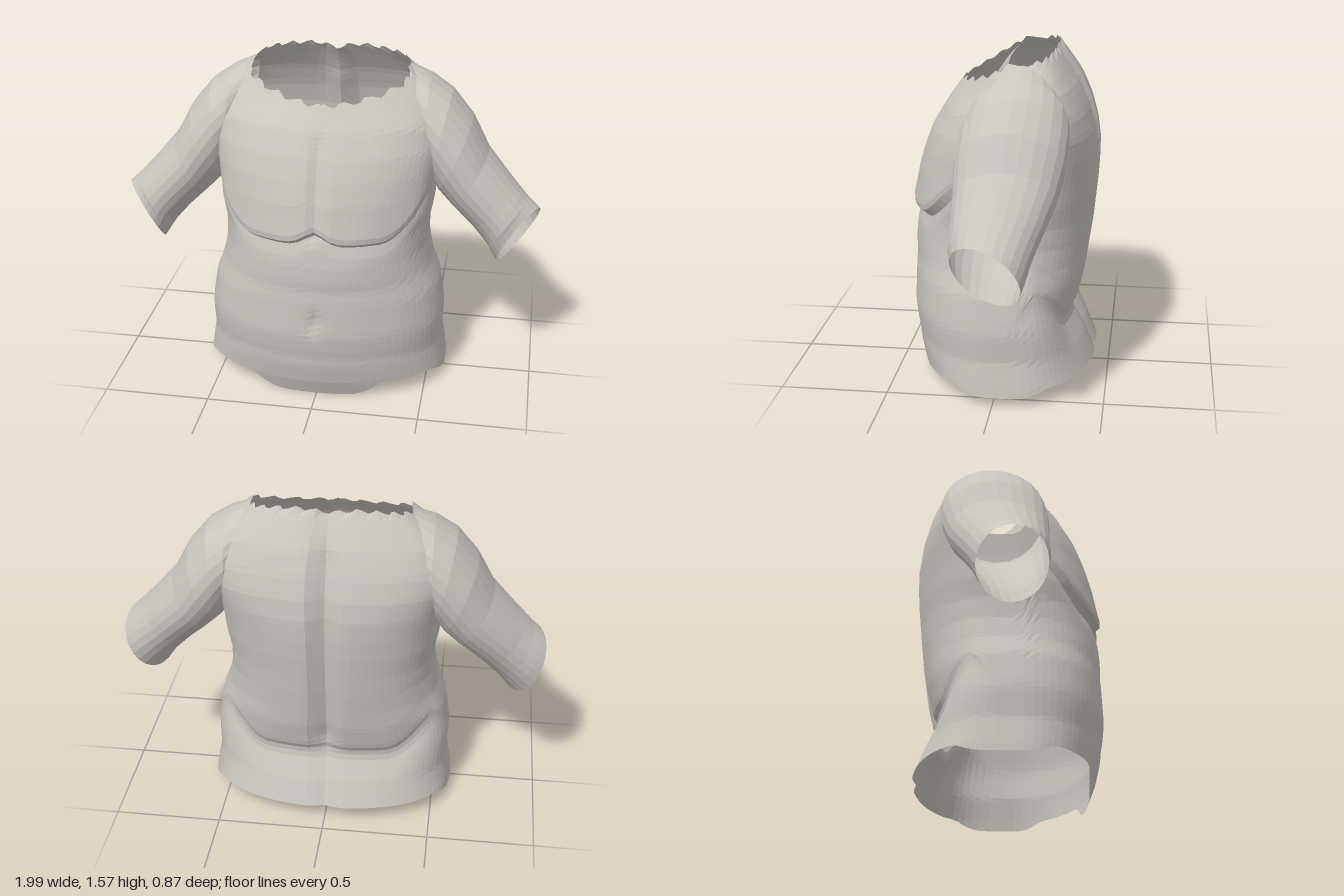
import * as THREE from 'three';

const { smoothstep, lerp, clamp } = THREE.MathUtils;
const gauss = (d, w) => Math.exp(-(d * d) / (w * w));

// Straight-line lookup in a table whose first column is the key
function lookup(table, key, col) {
  let i = 1;
  while (i < table.length - 1 && table[i][0] < key) i++;
  const a = table[i - 1], b = table[i];
  return lerp(a[col], b[col], clamp((key - a[0]) / (b[0] - a[0]), 0, 1));
}

// Open skin around a closed loop of columns; point(u, v, column) gives [x, y, z]
function skin(cols, rows, point, flip = false, hole = () => false) {
  const pos = [], index = [];
  for (let j = 0; j <= rows; j++)
    for (let i = 0; i < cols; i++) pos.push(...point(i / cols, j / rows, i));
  for (let j = 0; j < rows; j++) {
    for (let i = 0; i < cols; i++) {
      const a = j * cols + i, b = j * cols + (i + 1) % cols, c = b + cols, d = a + cols;
      if (hole(pos[3 * a], pos[3 * a + 1], pos[3 * a + 2])) continue;
      if (flip) index.push(a, c, b, a, d, c);
      else index.push(a, b, c, a, c, d);
    }
  }
  const g = new THREE.BufferGeometry();
  g.setAttribute('position', new THREE.Float32BufferAttribute(pos, 3));
  g.setIndex(index);
  g.computeVertexNormals();
  return g;
}

// Torso sections: height, half width, front z, back z, middle z
const BODY = [
  [0.00, 0.59, 0.36, -0.44, 0],
  [0.08, 0.58, 0.39, -0.44, 0],
  [0.20, 0.56, 0.42, -0.39, 0],
  [0.30, 0.565, 0.43, -0.335, 0],
  [0.34, 0.565, 0.435, -0.33, 0],
  [0.38, 0.56, 0.435, -0.355, 0],
  [0.50, 0.54, 0.43, -0.385, 0],
  [0.60, 0.50, 0.43, -0.40, 0],
  [0.70, 0.48, 0.425, -0.415, 0],
  [0.80, 0.48, 0.41, -0.425, 0],
  [0.90, 0.50, 0.40, -0.435, 0],
  [1.00, 0.505, 0.39, -0.44, 0],
  [1.10, 0.515, 0.365, -0.44, 0],
  [1.20, 0.53, 0.33, -0.425, -0.02],
  [1.30, 0.53, 0.275, -0.395, -0.04],
  [1.40, 0.48, 0.20, -0.35, -0.05],
  [1.46, 0.43, 0.16, -0.31, -0.05],
  [1.52, 0.36, 0.11, -0.27, -0.05],
  [1.57, 0.31, 0.08, -0.23, -0.05],
];
const CHEST = 0.81, WAIST = 0.36;

function torsoPoint(u, v, i) {
  const t = u * Math.PI * 2, s = Math.sin(t), c = Math.cos(t), side = Math.abs(s);
  // Level rows that bend to a curved hem and a sloping, slightly ragged neckline
  const hem = 0.08 - 0.08 * smoothstep(c, 0.82, 0.97) - 0.04 * smoothstep(side, 0.9, 1);
  const neck = c > 0 ? 1.52 - 0.12 * c : 1.52 - 0.04 * c - 0.02 * gauss(s, 0.2);
  const level = 1.5 * v + hem * (1 - smoothstep(v, 0, 0.2)) + (neck - 1.5) * smoothstep(v, 0.65, 1);

  // Rows also follow the chest crease in front and the waist fold behind
  const x0 = 0.5 * side;
  const chestLift = (0.05 * gauss(x0, 0.07) + 6 * Math.max(0, x0 - 0.3) ** 2) * smoothstep(c, 0, 0.3);
  const waistLift = 0.17 * smoothstep(side, 0.5, 1) * smoothstep(-c, 0, 0.45) * smoothstep(level, 0.08, 0.3);
  let y = level + chestLift * gauss(level - CHEST, 0.33) + waistLift * gauss(level - WAIST, 0.3);
  if (v === 1) y += 0.01 * Math.sin(i * 1.7);

  const w = lookup(BODY, y, 1), mid = lookup(BODY, y, 4);
  const pinch = c > 0 ? 1 + smoothstep(y, 1.3, 1.5) : 1;
  const x = w * Math.sign(s) * Math.pow(side, pinch), ax = Math.abs(x);
  let z;
  if (c >= 0) {
    const square = lerp(0.86, 1, smoothstep(y, 1.1, 1.35));
    z = mid + (lookup(BODY, y, 2) - mid) * Math.pow(c, square);
    // Chest overhanging its crease, split by a centre cleft
    const d = level - CHEST, front = smoothstep(c, 0.1, 0.5);
    if (d > 0) z += 0.038 * front * smoothstep(d, 0, 0.03) * Math.exp(-d / 0.2) * (1 - smoothstep(y, 1.15, 1.35));
    else z -= 0.012 * front * gauss(d, 0.04);
    z -= 0.022 * gauss(ax, 0.035) * smoothstep(y, 0.8, 0.9) * (1 - smoothstep(y, 1.2, 1.35));
    // Navel and soft belly folds
    z -= 0.015 * gauss(ax, 0.035) * gauss(y - 0.42, 0.06);
    z -= 0.005 * c * (gauss(y - 0.58, 0.04) + gauss(y - 0.22, 0.04));
  } else {
    // Broad back lobes, squarer at the shoulder blades, with a spine groove
    const square = lerp(0.65, 0.4, smoothstep(y, 0.85, 1.25));
    z = mid + (lookup(BODY, level, 3) - mid) * Math.pow(-c, square);
    z += lerp(0.018, 0.055, smoothstep(y, 0.3, 0.45)) * gauss(ax, 0.05) * (1 - 0.5 * smoothstep(y, 1.3, 1.5));
  }
  return [x, y, z];
}

// Sleeve rings: top x, top y, bottom x, bottom y, front z, back z
const SLEEVE = [
  [0.36, 1.52, 0.43, 1.13, 0.05, -0.27],
  [0.46, 1.475, 0.45, 1.07, 0.125, -0.325],
  [0.56, 1.41, 0.47, 1.01, 0.15, -0.33],
  [0.66, 1.29, 0.51, 0.945, 0.16, -0.32],
  [0.74, 1.14, 0.58, 0.875, 0.155, -0.29],
  [0.86, 1.00, 0.68, 0.78, 0.15, -0.24],
  [0.93, 0.925, 0.76, 0.69, 0.15, -0.20],
  [0.98, 0.88, 0.82, 0.60, 0.14, -0.17],
].map((r, k) => [k, ...r]);

function sleevePoint(u, v, sign) {
  const k = v * (SLEEVE.length - 1), t = u * Math.PI * 2;
  const [tx, ty, bx, by, zf, zb] = [1, 2, 3, 4, 5, 6].map((col) => lookup(SLEEVE, k, col));
  const up = (1 + Math.cos(t)) / 2, fore = (1 + Math.sin(t)) / 2;
  // The cuff is cut shorter at the front than at the back
  const cut = smoothstep(v, 0.75, 1) * (0.5 - fore) * 0.1;
  return [
    sign * Math.min(1, lerp(bx, tx, up) + cut),
    lerp(by, ty, up) - cut * 0.7,
    lerp(zb, zf, fore),
  ];
}

export function createModel() {
  const model = new THREE.Group();
  model.name = 'torsoShell';
  const skinGrey = new THREE.MeshStandardMaterial({
    color: 0xc8c4be, flatShading: true, side: THREE.DoubleSide,
  });
  skinGrey.name = 'warm grey';

  const add = (name, geometry) => {
    const mesh = new THREE.Mesh(geometry, skinGrey);
    mesh.name = name;
    model.add(mesh);
  };

  // Torso, open at neck and hem, and open into each arm
  const armhole = (x, y, z) =>
    Math.abs(x) > 0.43 && ((y - 1.24) / 0.16) ** 2 + ((z + 0.09) / 0.2) ** 2 < 1;
  add('torso', skin(80, 56, torsoPoint, false, armhole));

  // Shoulders and short arms, open at the cuff
  for (const sign of [1, -1]) {
    add(sign > 0 ? 'leftArm' : 'rightArm',
      skin(24, 14, (u, v) => sleevePoint(u, v, sign), sign < 0));
  }
  return model;
}
